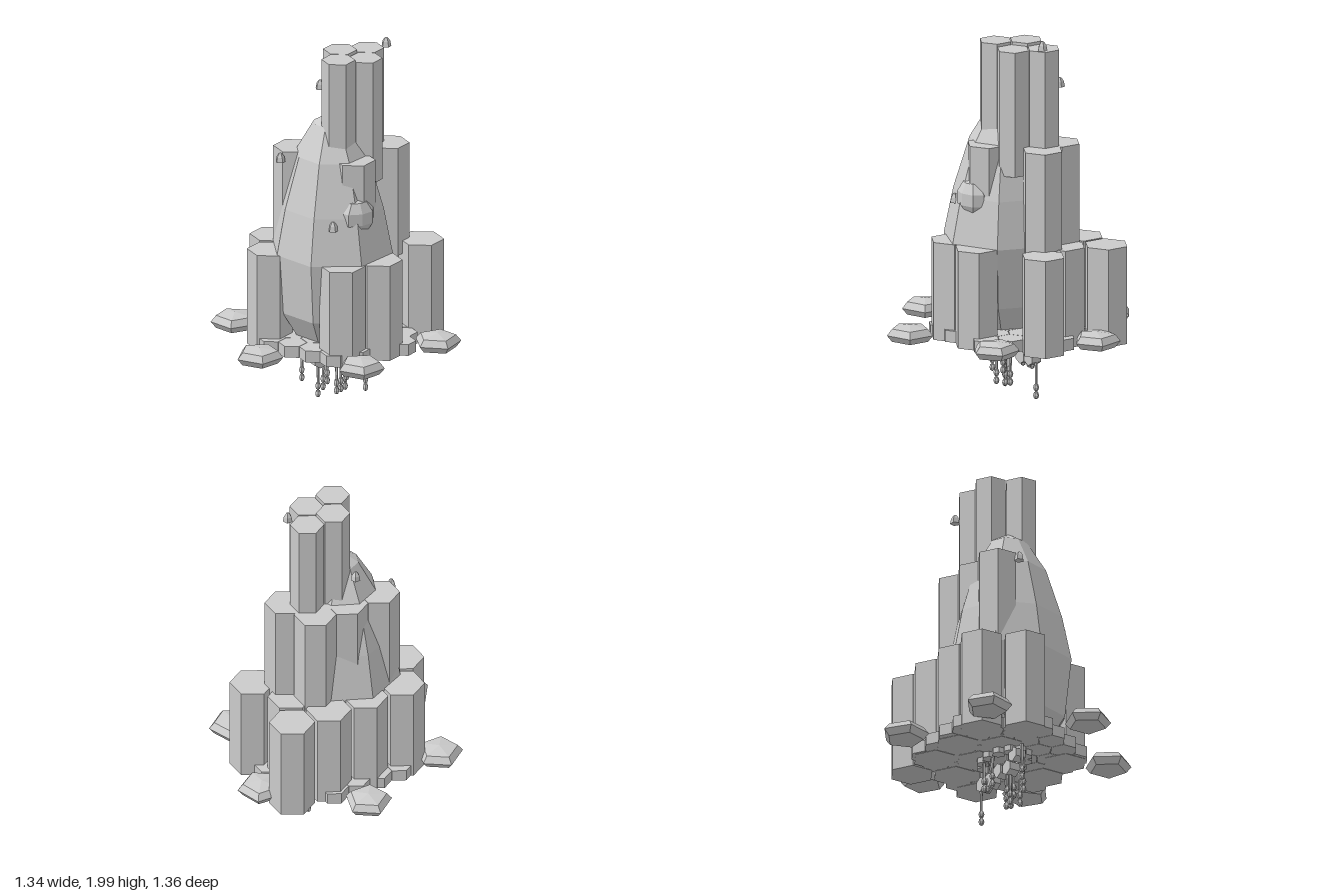
import * as THREE from 'three';

const mat = new THREE.MeshStandardMaterial({ color: 0xcccccc, flatShading: true, side: THREE.DoubleSide });

function add(parent, name, geo, x = 0, y = 0, z = 0, turn = 0) {
  const m = new THREE.Mesh(geo, mat);
  m.name = name;
  m.position.set(x, y, z);
  m.rotation.y = turn;
  parent.add(m);
  return m;
}

function group(parent, name) {
  const g = new THREE.Group();
  g.name = name;
  parent.add(g);
  return g;
}

// Hexagonal column between two heights
function column(parent, name, x, z, r, y0, y1) {
  return add(parent, name, new THREE.CylinderGeometry(r, r, y1 - y0, 6), x, (y0 + y1) / 2, z);
}

function lathe(points, sides) {
  return new THREE.LatheGeometry(points.map(([r, y]) => new THREE.Vector2(r, y)), sides);
}

export function createModel() {
  const root = new THREE.Group();
  root.name = 'floatingIsland';

  // Basalt columns in three tiers
  const lower = group(root, 'lowerColumns');
  [[-0.225, -0.31], [0, -0.31], [0.225, -0.31], [0.45, -0.31],
    [-0.34, -0.11], [-0.11, -0.11], [0.11, -0.11], [0.34, -0.11],
    [0.45, 0.1], [-0.11, 0.29], [0.11, 0.29]]
    .forEach(([x, z]) => column(lower, 'lowerColumn', x, z, 0.121, 0.34, 0.872));

  const middle = group(root, 'middleColumns');
  [[-0.165, -0.17], [0.03, -0.17], [0.225, -0.17], [0.305, 0], [0.025, 0.16]]
    .forEach(([x, z]) => column(middle, 'middleColumn', x, z, 0.112, 0.8, 1.405));

  const tower = group(root, 'towerColumns');
  [[-0.025, 0.07, 1.945], [0.135, 0.07, 1.93], [0.055, -0.07, 1.945], [0.215, -0.07, 1.93]]
    .forEach(([x, z, top]) => column(tower, 'towerColumn', x, z, 0.09, 1.25, top));

  // Faceted mountain body with slightly uneven ribs
  const rock = lathe([[0, 0.36], [0.2, 0.38], [0.3, 0.54], [0.335, 0.87], [0.285, 1.12],
    [0.2, 1.4], [0.1, 1.57], [0, 1.63]], 8);
  const p = rock.attributes.position;
  for (let i = 0; i < p.count; i++) {
    const a = Math.atan2(p.getX(i), p.getZ(i));
    const s = 1 + 0.04 * Math.cos(2 * a) + 0.03 * Math.cos(a);
    p.setXYZ(i, p.getX(i) * s, p.getY(i), p.getZ(i) * s);
  }
  add(root, 'mountain', rock, -0.025, 0, -0.01);

  // Round boulder on the front face
  const boulder = add(root, 'boulder', new THREE.SphereGeometry(0.105, 8, 5), 0, 1.115, 0.235);
  boulder.scale.z = 0.72;

  // Low paving of small hexagons under the columns
  const paving = group(root, 'basePaving');
  const r = 0.075, dx = r * 1.77, dz = r * 1.53;
  for (let row = -5; row <= 5; row++) {
    for (let c = -4; c <= 4; c++) {
      const x = (c + (row & 1 ? 0.5 : 0)) * dx, z = row * dz;
      if (Math.hypot(x, z) < 0.4) column(paving, 'pavingBlock', x + 0.03, z - 0.03, r, 0.342, 0.405);
    }
  }

  // Ring of floating pentagonal stones: x, z, turn
  const stones = group(root, 'floatingStones');
  const stoneGeo = lathe([[0, -0.05], [0.1, -0.035], [0.128, 0], [0.1, 0.035], [0, 0.05]], 5);
  const H = Math.PI / 2;
  [[0.13, -0.56, 2 * H], [-0.41, -0.385, 2 * H], [0.555, -0.17, 2.47],
    [-0.535, 0.16, -H], [0.405, 0.38, 0], [-0.13, 0.55, -H]]
    .forEach(([x, z, t]) => add(stones, 'floatingStone', stoneGeo, x, 0.39, z, t));

  // Small gems drifting round the peak
  const gems = group(root, 'driftingGems');
  const gemGeo = lathe([[0, -0.025], [0.027, -0.025], [0.022, 0.003], [0.01, 0.022], [0, 0.027]], 5);
  [[0.295, 1.97, -0.005], [-0.28, 1.38, -0.105], [-0.145, 1.085, 0.25], [0.05, 1.675, -0.295]]
    .forEach(([x, y, z]) => add(gems, 'driftingGem', gemGeo, x, y, z));

  // Ring of hexagons on the underside
  const under = group(root, 'undersideRing');
  for (let i = 0; i < 12; i++) {
    const a = (i / 12) * Math.PI * 2;
    column(under, 'undersideBlock', 0.01 + 0.15 * Math.sin(a), 0.1 * Math.cos(a) - 0.01, 0.036, 0.31, 0.35);
  }

  // Upright hexagonal plates below the ring
  const plates = group(root, 'hangingPlates');
  [[-0.15, 0.29], [-0.09, 0.235], [0.0, 0.25], [0.09, 0.23], [0.165, 0.235]].forEach(([x, y]) => {
    const m = add(plates, 'hangingPlate', new THREE.CylinderGeometry(0.042, 0.042, 0.06, 6), x, y, -0.035);
    m.rotation.x = H;
  });

  // Hanging roots with bulbs at their tips: x, z, lowest point
  const roots = group(root, 'hangingRoots');
  const bulb = new THREE.SphereGeometry(0.016, 6, 4);
  [[-0.19, -0.03, 0.13], [-0.09, -0.04, 0.02], [-0.06, -0.04, 0.055], [-0.03, 0.06, 0.06],
    [0.01, 0.03, 0.055], [0.04, 0.02, 0.06], [0.19, -0.04, 0.01], [-0.01, -0.1, 0.14],
    [0.07, -0.1, 0.14], [0.1, -0.06, 0.16], [-0.08, 0.05, 0.12], [0.03, 0.06, 0.13]]
    .forEach(([x, z, low]) => {
      const len = 0.34 - low - 0.02;
      add(roots, 'rootStem', new THREE.CylinderGeometry(0.011, 0.006, len, 5), x, 0.34 - len / 2, z);
      [0.022, 0.065].forEach((d) => {
        add(roots, 'rootBulb', bulb, x, low + d, z).scale.y = 1.4;
      });
    });

  return root;
}
